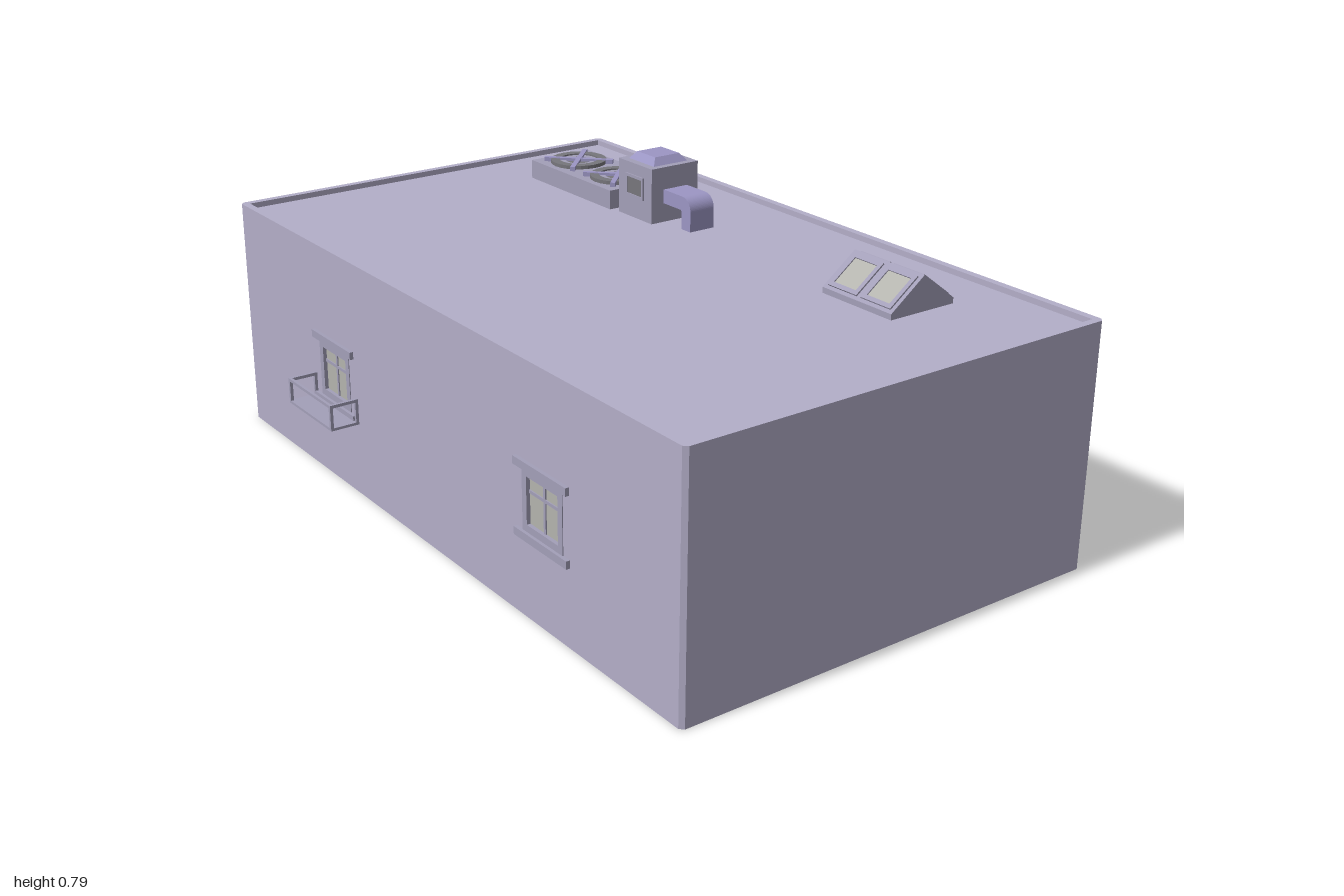
import * as THREE from 'three';

const mat = (color, side = THREE.FrontSide) => new THREE.MeshStandardMaterial({ color, side });
const WALL = mat(0xb3aec8), TRIM = mat(0xa39fb8), PURPLE = mat(0x9c96c4), DARK = mat(0x77767c);
const GLASS = mat(0xb4b4ae, THREE.DoubleSide);
const ROOF = 0.62, TOP = 0.635;

function add(parent, name, geometry, material) {
  const mesh = new THREE.Mesh(geometry, material);
  mesh.name = name;
  parent.add(mesh);
  return mesh;
}

function group(parent, name, x = 0, y = 0, z = 0) {
  const g = new THREE.Group();
  g.name = name;
  g.position.set(x, y, z);
  parent.add(g);
  return g;
}

// Box given by its minimum and maximum on each axis
function box(parent, name, [x0, x1], [y0, y1], [z0, z1], material) {
  const geo = new THREE.BoxGeometry(x1 - x0, y1 - y0, z1 - z0);
  geo.translate((x0 + x1) / 2, (y0 + y1) / 2, (z0 + z1) / 2);
  return add(parent, name, geo, material);
}

const polygon = (pts) => new THREE.Shape(pts.map(([x, y]) => new THREE.Vector2(x, y)));
const rect = (w, h, x = 0, y = 0) => polygon([
  [x - w / 2, y - h / 2], [x + w / 2, y - h / 2], [x + w / 2, y + h / 2], [x - w / 2, y + h / 2]]);
const extrude = (shape, depth, curveSegments = 8) =>
  new THREE.ExtrudeGeometry(shape, { depth, bevelEnabled: false, curveSegments });

// Rectangular frame in the xy plane, extruded along +z
function frame(w, h, bar, depth) {
  const s = rect(w, h);
  s.holes.push(rect(w - 2 * bar, h - 2 * bar));
  return extrude(s, depth);
}

const WINDOWS = [0.495, -0.478];

function buildShell(parent) {
  // Three walls with chamfered corners
  const plan = polygon([
    [-0.565, -0.99], [-0.555, -1], [0.63, -1], [0.64, -0.99], [0.64, 0.99], [0.63, 1],
    [-0.555, 1], [-0.565, 0.99], [-0.565, 0.98], [0.62, 0.98], [0.62, -0.98], [-0.565, -0.98]]);
  add(parent, 'walls', extrude(plan, TOP).rotateX(-Math.PI / 2), WALL);
  // Wall with the window openings
  const side = polygon([[-0.98, 0], [0.98, 0], [0.98, TOP], [-0.98, TOP]]);
  for (const z of WINDOWS) side.holes.push(rect(0.16, 0.155, z, 0.2975));
  add(parent, 'windowWall', extrude(side, 0.02).rotateY(-Math.PI / 2).translate(-0.545, 0, 0), WALL);
  box(parent, 'roof', [-0.545, 0.62], [0.605, ROOF], [-0.98, 0.98], WALL);
}

function buildWindow(parent, z) {
  const g = group(parent, 'window', 0, 0, z);
  box(g, 'lintel', [-0.575, -0.538], [0.375, 0.395], [-0.105, 0.105], TRIM);
  box(g, 'sill', [-0.575, -0.538], [0.2, 0.22], [-0.105, 0.105], TRIM);
  const f = add(g, 'windowFrame', frame(0.16, 0.155, 0.018, 0.024), TRIM);
  f.rotation.y = -Math.PI / 2;
  f.position.set(-0.543, 0.2975, 0);
  box(g, 'mullion', [-0.56, -0.55], [0.23, 0.365], [-0.004, 0.004], TRIM);
  box(g, 'transom', [-0.56, -0.55], [0.315, 0.323], [-0.065, 0.065], TRIM);
  box(g, 'windowGlass', [-0.557, -0.553], [0.23, 0.365], [-0.065, 0.065], GLASS);
}

function buildBalcony(parent) {
  const g = group(parent, 'balcony');
  const x = [-0.645, -0.565], z = [-0.595, -0.36], t = 0.008;
  box(g, 'balconyFloor', x, [0.2, 0.207], z, TRIM);
  box(g, 'frontRail', [x[0], x[0] + t], [0.262, 0.27], z, TRIM);
  for (const z0 of [z[0], z[1] - t]) {
    box(g, 'sideRail', x, [0.262, 0.27], [z0, z0 + t], TRIM);
    for (const x0 of [x[0], x[1] - t]) box(g, 'post', [x0, x0 + t], [0.2, 0.27], [z0, z0 + t], TRIM);
  }
}

function buildSkylight(parent) {
  const g = group(parent, 'skylight', 0.37, 0, 0.572);
  const gable = polygon([[-0.1, ROOF], [0.1, ROOF], [0.1, TOP], [0, 0.71], [-0.1, TOP]]);
  add(g, 'skylightBody', extrude(gable, 0.236).translate(0, 0, -0.118), TRIM);
  const slope = Math.atan2(0.71 - TOP, 0.1);
  for (const s of [-1, 1]) {
    const face = group(g, 'skylightSlope', s * 0.05, (0.71 + TOP) / 2, 0);
    face.rotation.z = -s * slope;
    for (const z of [-0.057, 0.057]) {
      const f = add(face, 'paneFrame', frame(0.105, 0.1, 0.012, 0.004).rotateX(-Math.PI / 2), TRIM);
      f.position.z = z;
      box(face, 'pane', [-0.041, 0.041], [0, 0.0012], [z - 0.038, z + 0.038], GLASS);
    }
  }
}

// Flat ring around y, from inner to outer radius
function ring(r0, r1, y0, y1) {
  const p = [[r0, y0], [r1, y0], [r1, y1], [r0, y1], [r0, y0]].map(([x, y]) => new THREE.Vector2(x, y));
  const geo = new THREE.LatheGeometry(p, 24).toNonIndexed();
  geo.computeVertexNormals();
  return geo;
}

function buildFans(parent) {
  const g = group(parent, 'fanUnit', 0.352, 0, 0);
  box(g, 'fanHousing', [-0.098, 0.098], [ROOF, 0.673], [-0.79, -0.4], TRIM);
  for (const z of [-0.693, -0.497]) {
    const fan = group(g, 'fan', 0, 0.673, z);
    add(fan, 'fanRim', ring(0.055, 0.08, 0, 0.01), DARK);
    add(fan, 'fanRing', ring(0.036, 0.055, 0, 0.006), TRIM);
    add(fan, 'fanHub', new THREE.CylinderGeometry(0.036, 0.036, 0.004, 24).translate(0, 0.002, 0), DARK);
    for (const a of [-1, 1]) {
      const bar = box(fan, 'fanBar', [-0.1, 0.1], [0, 0.012], [-0.007, 0.007], PURPLE);
      bar.rotation.y = a * Math.PI / 4;
    }
  }
}

function buildVent(parent) {
  const g = group(parent, 'vent', 0.341, 0, -0.298);
  box(g, 'ventBox', [-0.077, 0.077], [ROOF, 0.771], [-0.075, 0.075], TRIM);
  const cap = new THREE.CylinderGeometry(0.04 * Math.SQRT2, 0.056 * Math.SQRT2, 0.02, 4, 1)
    .rotateY(Math.PI / 4).toNonIndexed();
  cap.computeVertexNormals();
  add(g, 'ventCap', cap.translate(0, 0.781, 0), PURPLE);
  // Grilles on both sides
  for (const s of [-1, 1]) {
    const f = add(g, 'grilleFrame', frame(0.08, 0.062, 0.008, 0.005), TRIM);
    f.rotation.y = s * Math.PI / 2;
    f.position.set(s * 0.076, 0.708, 0);
    box(g, 'grille', [s * 0.077 - 0.002, s * 0.077 + 0.002], [0.68, 0.736], [-0.034, 0.034], DARK);
  }
  // Elbow duct: profile in z and y, swept across x
  const p = new THREE.Shape();
  p.moveTo(0.07, 0.71);
  p.lineTo(0.07, 0.672);
  p.lineTo(0.146, 0.672);
  p.quadraticCurveTo(0.154, 0.672, 0.154, 0.664);
  p.lineTo(0.154, ROOF);
  p.lineTo(0.192, ROOF);
  p.lineTo(0.192, 0.674);
  p.absarc(0.156, 0.674, 0.036, 0, Math.PI / 2, false);
  p.closePath();
  add(g, 'elbowDuct', extrude(p, 0.078).rotateY(-Math.PI / 2).translate(0.041, 0, 0), PURPLE);
}

export function createModel() {
  const model = new THREE.Group();
  model.name = 'building';
  buildShell(model);
  for (const z of WINDOWS) buildWindow(model, z);
  buildBalcony(model);
  buildSkylight(model);
  buildFans(model);
  buildVent(model);
  return model;
}
